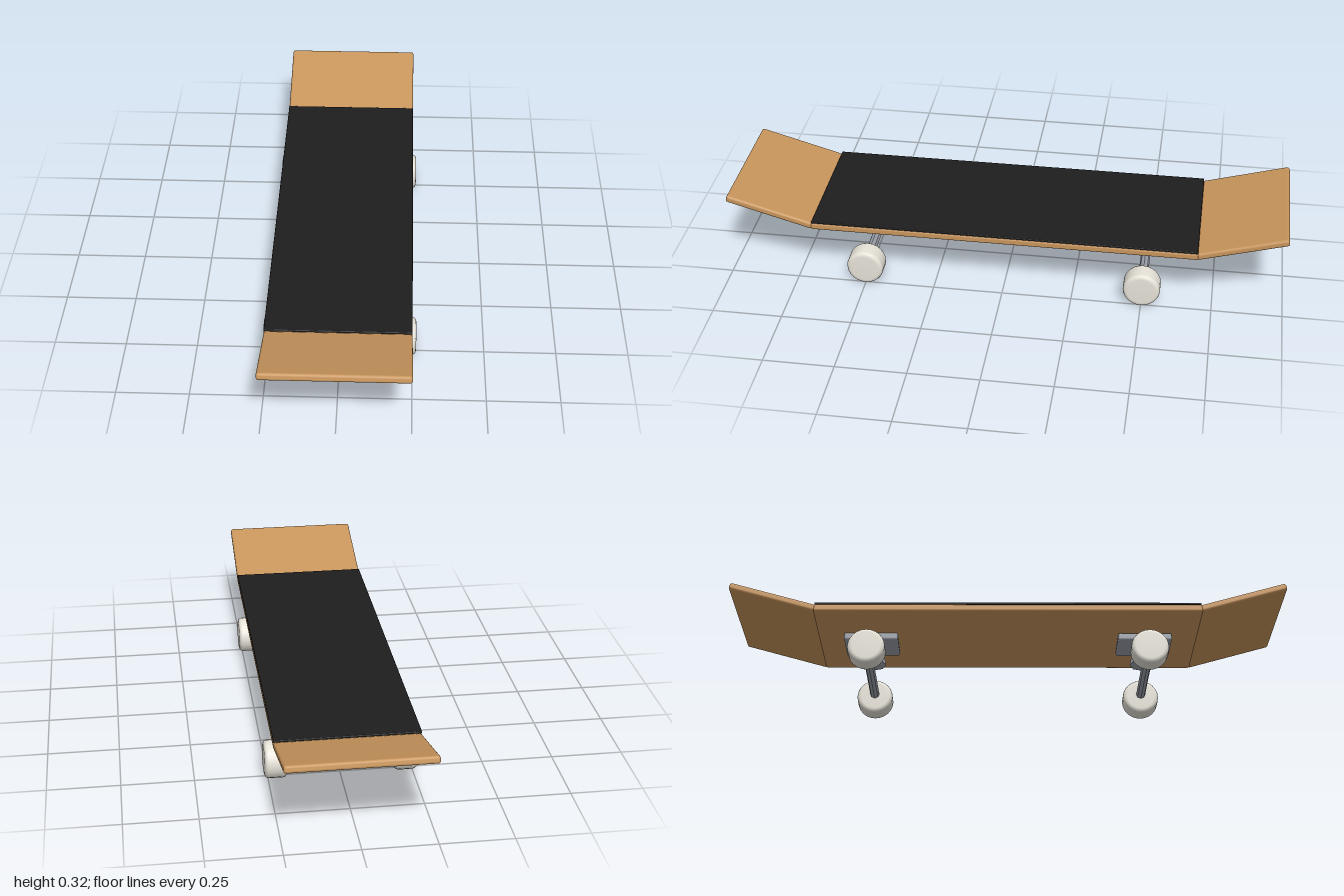
import * as THREE from 'three';
import { RoundedBoxGeometry } from 'three/addons/geometries/RoundedBoxGeometry.js';

const material = (name, color) => {
  const m = new THREE.MeshStandardMaterial({ color });
  m.name = name;
  return m;
};

export function createModel() {
  const wood = material('wood', 0xc8955c);
  const gripBlack = material('gripBlack', 0x1e1e1e);
  const metal = material('metal', 0x9a9fa8);
  const wheelCream = material('wheelCream', 0xe6e2d8);

  const add = (parent, name, geometry, mat, x = 0, y = 0, z = 0) => {
    const mesh = new THREE.Mesh(geometry, mat);
    mesh.name = name;
    mesh.position.set(x, y, z);
    parent.add(mesh);
    return mesh;
  };

  // Cylinder with flat facets
  const facetedCylinder = (top, bottom, height, sides) => {
    const g = new THREE.CylinderGeometry(top, bottom, height, sides).toNonIndexed();
    g.computeVertexNormals();
    return g;
  };

  const board = new THREE.Group();
  board.name = 'skateboard';

  // Flat deck with grip sheet on top
  add(board, 'deck', new RoundedBoxGeometry(0.494, 0.027, 1.39, 2, 0.008), wood, 0, 0.2215, 0);
  add(board, 'gripSheet', new RoundedBoxGeometry(0.494, 0.008, 1.38, 2, 0.003), gripBlack, 0, 0.238, 0);

  // Shared wheel profile: cylinder with softened rims
  const wheelProfile = [
    [0, -0.039], [0.05, -0.039], [0.058, -0.037], [0.063, -0.033], [0.066, -0.026],
    [0.066, 0.026], [0.063, 0.033], [0.058, 0.037], [0.05, 0.039], [0, 0.039],
  ].map(([r, h]) => new THREE.Vector2(r, h));
  const wheelGeometry = new THREE.LatheGeometry(wheelProfile, 24).rotateZ(Math.PI / 2);
  const axleGeometry = facetedCylinder(0.017, 0.017, 0.40, 8).rotateZ(Math.PI / 2);
  const hangerGeometry = facetedCylinder(0.036, 0.054, 0.07, 8);
  const plateGeometry = new RoundedBoxGeometry(0.147, 0.029, 0.197, 2, 0.008);

  for (const [end, side] of [['front', 1], ['rear', -1]]) {
    // Upturned nose and tail
    const kick = add(board, `${end}Kick`, new RoundedBoxGeometry(0.494, 0.026, 0.325, 2, 0.009),
      wood, 0, 0.265, side * 0.843);
    kick.rotation.x = -side * 0.279;

    // Truck: base plate, hanger, axle and a pair of wheels
    const truck = new THREE.Group();
    truck.name = `${end}Truck`;
    truck.position.z = side * 0.5;
    board.add(truck);
    add(truck, 'basePlate', plateGeometry, metal, 0, 0.192, 0);
    add(truck, 'hanger', hangerGeometry, metal, 0, 0.145, 0);
    add(truck, 'axle', axleGeometry, metal, 0, 0.073, 0);
    add(truck, 'leftWheel', wheelGeometry, wheelCream, 0.224, 0.067, 0);
    add(truck, 'rightWheel', wheelGeometry, wheelCream, -0.224, 0.067, 0);
  }
  return board;
}
